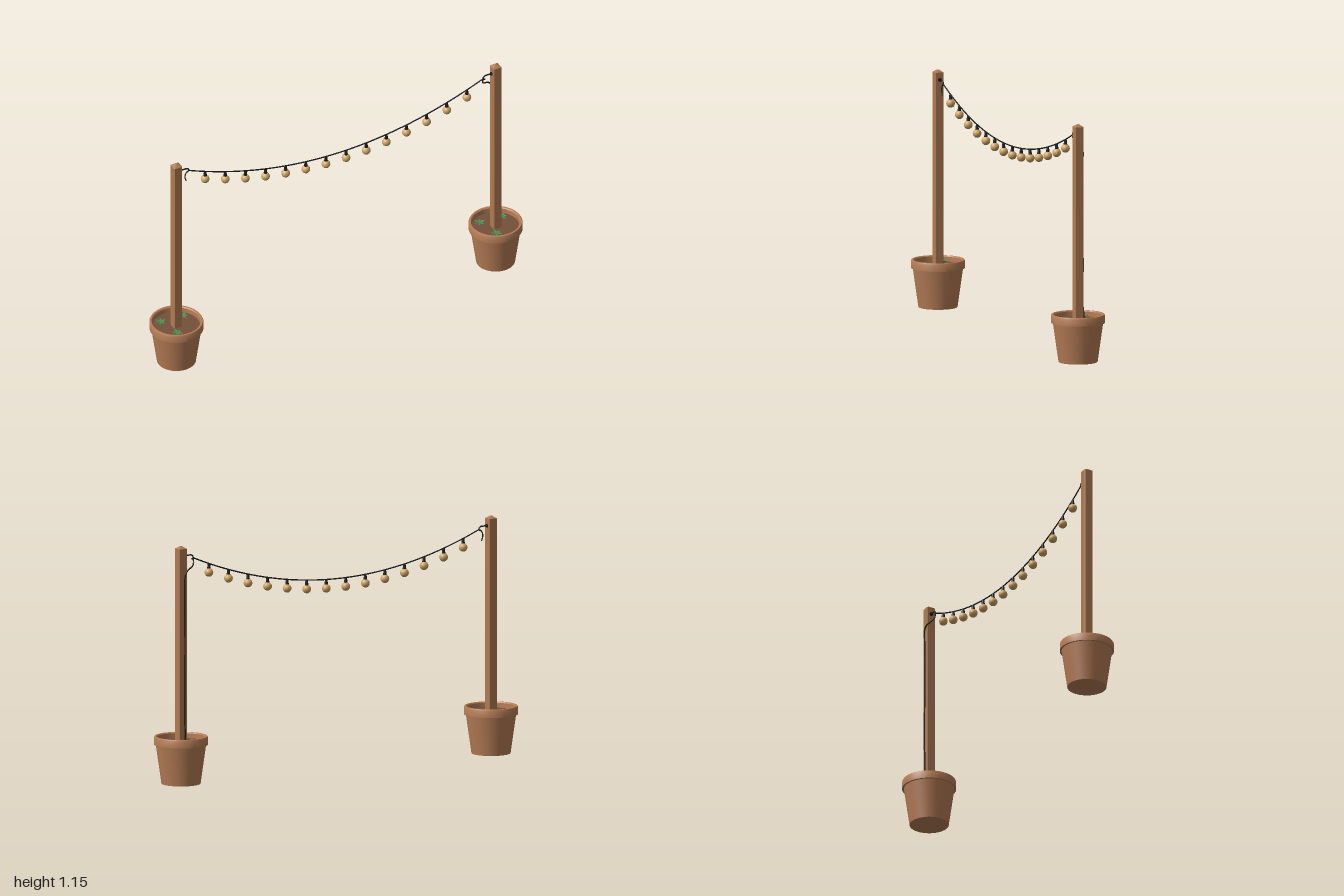
import * as THREE from 'three';
import { toCreasedNormals } from 'three/addons/utils/BufferGeometryUtils.js';

const mat = (name, color, extra = {}) => {
  const m = new THREE.MeshStandardMaterial({ color, ...extra });
  m.name = name;
  return m;
};
const V = (x, y, z = 0) => new THREE.Vector3(x, y, z);

export function createModel() {
  const terracotta = mat('terracotta', 0xb57c55);
  const wood = mat('wood', 0xb07b52);
  const soilMat = mat('soil', 0x74503a);
  const leafMat = mat('leaf', 0x4a8a4c, { side: THREE.DoubleSide });
  const black = mat('blackCable', 0x1c1c1e);
  const glass = mat('warmGlass', 0xcfa768);

  const model = new THREE.Group();
  model.name = 'stringLightPosts';
  const add = (parent, name, geo, material, x = 0, y = 0, z = 0) => {
    const mesh = new THREE.Mesh(geo, material);
    mesh.name = name;
    mesh.position.set(x, y, z);
    parent.add(mesh);
    return mesh;
  };
  const tube = (parent, name, pts, r, seg = 32) =>
    add(parent, name, new THREE.TubeGeometry(new THREE.CatmullRomCurve3(pts), seg, r, 8), black);

  const postX = 0.868, endX = 0.8, endY = 1.09, lowY = 0.92;
  const sagY = (x) => lowY + (endY - lowY) * (x / endX) ** 2;

  // Pot profile: tapered wall, overhanging rim, open inside down to the soil
  const profile = [[0, 0], [0.094, 0], [0.121, 0.19], [0.13, 0.19], [0.13, 0.224], [0.127, 0.23],
    [0.119, 0.23], [0.115, 0.225], [0.113, 0.18]].map(([r, y]) => new THREE.Vector2(r, y));
  const potGeo = toCreasedNormals(new THREE.LatheGeometry(profile, 48), 0.6);

  // Post with slightly chamfered corners
  const h = 0.0215, c = 0.003;
  const section = new THREE.Shape([[h - c, -h], [h, c - h], [h, h - c], [h - c, h], [c - h, h],
    [-h, h - c], [-h, c - h], [c - h, -h]].map(([x, y]) => new THREE.Vector2(x, y)));
  const postGeo = new THREE.ExtrudeGeometry(section, { depth: 0.96, bevelEnabled: false });
  postGeo.rotateX(-Math.PI / 2);
  const capGeo = toCreasedNormals(new THREE.CylinderGeometry(0.006, h * Math.SQRT2 * 0.97, 0.012, 4), 0.3);
  capGeo.rotateY(Math.PI / 4);

  // One pointed leaf, folded along its midrib
  const leafGeo = new THREE.BufferGeometry();
  leafGeo.setAttribute('position', new THREE.Float32BufferAttribute([
    0, 0, 0, 0.017, 0.009, 0.008, 0.033, 0.01, 0, 0.017, 0.006, 0, 0.017, 0.009, -0.008], 3));
  leafGeo.setIndex([0, 1, 3, 1, 2, 3, 0, 3, 4, 3, 2, 4]);
  leafGeo.computeVertexNormals();

  for (const side of [-1, 1]) {
    const stand = new THREE.Group();
    stand.name = side < 0 ? 'rightStand' : 'leftStand';
    stand.position.x = side * postX;
    model.add(stand);
    add(stand, 'pot', potGeo, terracotta);
    add(stand, 'soil', new THREE.CylinderGeometry(0.1145, 0.112, 0.015, 40), soilMat, 0, 0.1945);
    add(stand, 'post', postGeo, wood, 0, 0.18);
    add(stand, 'postCap', capGeo, wood, 0, 1.146);

    // Sprouts around the post
    [[-0.06, -0.053], [0.058, -0.047], [-0.033, 0.065]].forEach(([x, z], i) => {
      const sprout = new THREE.Group();
      sprout.name = 'sprout';
      sprout.position.set(x, 0.203, z);
      for (let k = 0; k < 6; k++) {
        const leaf = add(sprout, 'leaf', leafGeo, leafMat);
        leaf.rotation.y = (k / 6) * Math.PI * 2 + i * 0.7;
        leaf.scale.setScalar(k % 2 ? 0.85 : 1);
      }
      stand.add(sprout);
    });

    // Screw hook on the inner face of the post
    const s = -side;
    const flange = add(stand, 'hookFlange', new THREE.CylinderGeometry(0.009, 0.009, 0.005, 16), black, s * 0.0235, 1.105);
    flange.rotation.z = Math.PI / 2;
    tube(stand, 'hook', [V(s * 0.02, 1.105), V(s * 0.042, 1.105), V(s * 0.058, 1.104), V(s * 0.067, 1.096),
      V(s * 0.065, 1.087), V(s * 0.056, 1.085)], 0.0035);
  }

  // Sagging cable between the hooks
  const sag = [];
  for (let i = 0; i <= 24; i++) {
    const x = -endX + (2 * endX * i) / 24;
    sag.push(V(x, sagY(x)));
  }
  tube(model, 'sagCable', sag, 0.0032, 96);

  // Loose end at one hook
  tube(model, 'looseEnd', [V(-0.8, 1.09), V(-0.815, 1.08), V(-0.822, 1.06), V(-0.815, 1.034)], 0.003, 16);

  // Supply cable: loops off the other hook and runs down the back of the post
  tube(model, 'supplyCable', [V(0.8, 1.09), V(0.8, 1.066, -0.004), V(0.815, 1.05, -0.016), V(0.84, 1.04, -0.026),
    V(0.859, 1.02, -0.029), V(0.863, 0.97, -0.027), V(0.862, 0.7, -0.027), V(0.863, 0.45, -0.028),
    V(0.862, 0.28, -0.027), V(0.863, 0.235, -0.031), V(0.863, 0.195, -0.034)], 0.0035, 80);

  // Globe bulbs in black sockets
  const socketGeo = new THREE.CylinderGeometry(0.006, 0.009, 0.024, 14);
  const globeGeo = new THREE.SphereGeometry(0.021, 24, 16);
  const bulbCount = 14, step = 0.1095;
  for (let i = 0; i < bulbCount; i++) {
    const x = (i - (bulbCount - 1) / 2) * step;
    const lamp = new THREE.Group();
    lamp.name = 'lamp';
    lamp.position.set(x, sagY(x), 0);
    add(lamp, 'socket', socketGeo, black, 0, -0.013);
    add(lamp, 'globe', globeGeo, glass, 0, -0.043);
    model.add(lamp);
  }
  return model;
}
